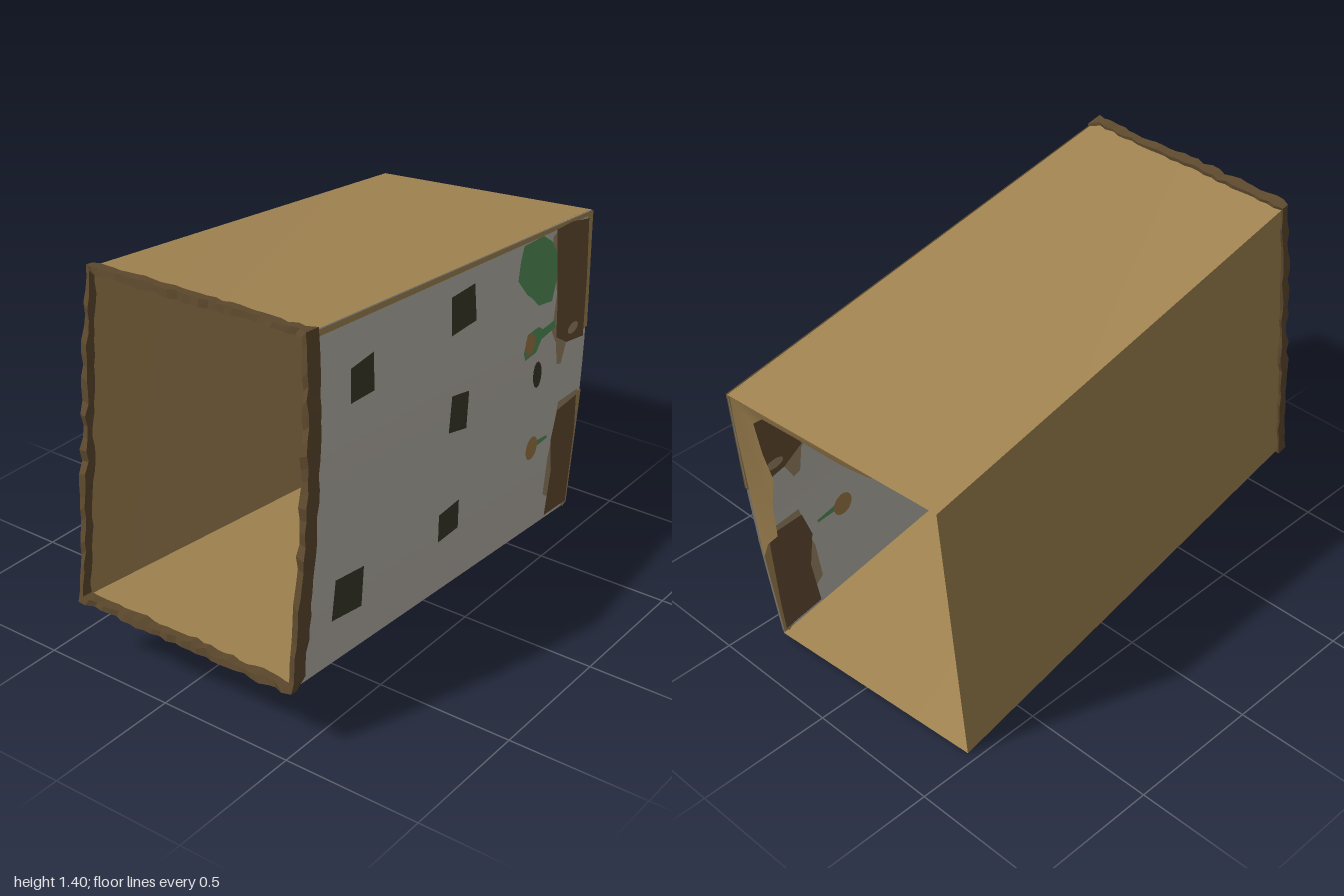
import * as THREE from 'three';

const V = (x, y, z) => new THREE.Vector3(x, y, z);
const mat = (name, color) => {
  const m = new THREE.MeshStandardMaterial({ color, side: THREE.DoubleSide });
  m.name = name;
  return m;
};

// Corners of the leaning sleeve: left end (-x) and right end (+x)
const L = { tf: V(-0.82, 1.39, 0.46), bf: V(-0.97, 0.25, 0.5), tb: V(-0.83, 1.38, -0.39), bb: V(-0.98, 0.26, -0.36) };
const R = { tf: V(0.99, 1.17, 0.35), bf: V(0.84, 0.03, 0.39), tb: V(0.91, 1.14, -0.51), bb: V(0.77, 0.005, -0.465) };
const BULGE = 0.02;

let seed = 7;
const rand = () => (seed = (seed * 16807) % 2147483647) / 2147483647;

// Curved four-cornered sheet: a-b is the lower edge, d-c the upper edge
function sheet(a, b, c, d, bulge = 0) {
  const g = new THREE.PlaneGeometry(1, 1, 12, 12);
  const p = g.attributes.position;
  for (let i = 0; i < p.count; i++) {
    const u = p.getX(i) + 0.5, v = p.getY(i) + 0.5;
    const q = a.clone().lerp(b, u).lerp(d.clone().lerp(c, u), v);
    p.setXYZ(i, q.x, q.y, q.z + bulge * Math.sin(Math.PI * v));
  }
  g.computeVertexNormals();
  return g;
}

// Depth of the front sheet at a given x, y
function frontZ(x, y) {
  const dx = x - L.bf.x, dy = y - L.bf.y;
  const det = 1.81 * 1.14 + 0.22 * 0.15;
  const u = (dx * 1.14 - dy * 0.15) / det;
  const v = (1.81 * dy + 0.22 * dx) / det;
  return 0.5 - 0.11 * u - 0.04 * v + BULGE * Math.sin(Math.PI * THREE.MathUtils.clamp(v, 0, 1));
}

const oval = (cx, cy, rx, ry) => Array.from({ length: 14 }, (_, i) => {
  const t = i / 14 * Math.PI * 2;
  return [cx + rx * Math.cos(t), cy + ry * Math.sin(t)];
});

export function createModel() {
  const group = new THREE.Group();
  const card = mat('cardboard tan', 0xa38552);
  const wall = mat('wall grey', 0xbab6ac);
  const dark = mat('window dark', 0x3b3a2a);
  const brown = mat('bark brown', 0x664e33);
  const green = mat('leaf green', 0x559459);
  const smudge = mat('pale brown', 0x9c8767);
  const orange = mat('ochre', 0xa07b48);
  const torn = mat('torn edge brown', 0x5e4a2e);

  const add = (name, geo, material) => {
    const m = new THREE.Mesh(geo, material);
    m.name = name;
    group.add(m);
  };

  // Four walls, open at both ends
  add('frontWall', sheet(L.bf, R.bf, R.tf, L.tf, BULGE), wall);
  add('backWall', sheet(R.bb, L.bb, L.tb, R.tb), card);
  add('topWall', sheet(L.tf, R.tf, R.tb, L.tb), card);
  add('bottomWall', sheet(L.bb, R.bb, R.bf, L.bf), card);

  // Painted patches on both sides of the front wall, outlines in hundredths
  const paint = (name, pts, material, lift = 0.006) => {
    const shape = new THREE.Shape(pts.map(([x, y]) => new THREE.Vector2(x / 100, y / 100)));
    for (const side of [1, -1]) {
      const g = new THREE.ShapeGeometry(shape);
      const p = g.attributes.position;
      for (let i = 0; i < p.count; i++) p.setZ(i, frontZ(p.getX(i), p.getY(i)) + side * lift);
      g.computeVertexNormals();
      add(name + (side > 0 ? 'Outside' : 'Inside'), g, material);
    }
  };

  const windows = [
    [[-62, 120], [-49, 120.5], [-50, 108], [-63, 109]],
    [[-2, 120.5], [13, 120], [13, 107], [-3, 107.5]],
    [[-4, 86.5], [7, 84], [5, 71], [-6.5, 74]],
    [[-74, 53], [-58, 50], [-59, 35.5], [-76, 39]],
    [[-12, 45.5], [1, 45.5], [1, 34.5], [-12, 35]],
  ];
  windows.forEach(w => paint('window', w, dark));
  paint('smallDarkSpot', oval(55, 70, 3.2, 5), dark);

  // Foliage, trunks and little sprigs
  paint('foliage', [[47, 121], [54, 120.5], [61, 120], [67, 116], [70.5, 111], [70.5, 102], [66, 94], [56, 96], [52, 100], [48, 103], [42, 110], [44, 116]], green);
  paint('upperTrunkEdge', [[68, 117], [72, 118], [74, 80], [77, 74], [73, 67], [70, 68], [69, 77], [66, 82], [70, 95]], smudge, 0.005);
  paint('upperTrunk', [[71, 119], [83, 118], [95.5, 115], [93, 93], [90, 71.5], [77, 74], [69, 79], [70, 92]], brown, 0.007);
  paint('trunkKnot', oval(81.5, 78, 4, 2), smudge, 0.009);
  paint('lowerTrunkEdge', [[72, 52], [87, 51], [88, 38], [82, 3], [64, 17], [66, 32], [69, 40]], smudge, 0.005);
  paint('lowerTrunk', [[71, 49], [86, 49], [86, 35], [83, 5], [66, 7], [69, 25], [67, 38]], brown, 0.007);
  paint('upperSprig', [[45, 82], [48, 88], [56, 88], [59, 86], [68, 86], [68, 83], [58, 82.5], [54, 79], [46, 79]], green);
  paint('upperSprigTip', oval(49.5, 84, 3.7, 4), orange, 0.008);
  paint('lowerSprig', [[55, 43.5], [64, 42], [64, 40.8], [55, 41]], green);
  paint('lowerSprigTip', oval(52, 42, 4.3, 4.5), orange, 0.008);

  // Bare cardboard along the folds
  paint('topFold', [[-80, 138.7], [99, 117], [99, 115.5], [-79, 136.5]], card);
  paint('upperEndFold', [[95, 117], [99, 117], [93.5, 74], [90.5, 74]], card);
  paint('lowerEndFold', [[86.5, 50], [90, 50], [84, 4], [82, 4]], card);

  // Ragged rim around the left end
  const loop = [L.tf, L.bf, L.bb, L.tb];
  const axis = R.tf.clone().sub(L.tf).normalize();
  const centre = loop.reduce((s, p) => s.add(p), V(0, 0, 0)).multiplyScalar(0.25);
  const pos = [], idx = [], N = 28;
  loop.forEach((a, e) => {
    const b = loop[(e + 1) % 4];
    for (let i = 0; i < N; i++) {
      const p = a.clone().lerp(b, i / N);
      if (e === 0) p.z += BULGE * Math.sin(Math.PI * i / N);
      const radial = p.clone().sub(centre).normalize();
      const inner = (e === 0 ? 0.05 : 0.022) + rand() * 0.012;
      const outer = -rand() * 0.018;
      const thick = 0.009 + rand() * 0.007;
      [[inner, 1], [outer, 1], [outer, -1], [inner, -1]].forEach(([along, s]) =>
        pos.push(...p.clone().addScaledVector(axis, along).addScaledVector(radial, s * thick).toArray()));
    }
  });
  const total = N * 4;
  for (let i = 0; i < total; i++) for (let k = 0; k < 4; k++) {
    const j = (i + 1) % total, m = (k + 1) % 4;
    idx.push(i * 4 + k, i * 4 + m, j * 4 + k, j * 4 + k, i * 4 + m, j * 4 + m);
  }
  let rim = new THREE.BufferGeometry();
  rim.setAttribute('position', new THREE.Float32BufferAttribute(pos, 3));
  rim.setIndex(idx);
  rim = rim.toNonIndexed();
  rim.computeVertexNormals();
  add('tornLeftRim', rim, torn);

  // Torn flap remnant inside the right end, outlined in z, y
  const flap = new THREE.ShapeGeometry(new THREE.Shape([
    [0.385, 0.42], [0.35, 1.165], [-0.28, 1.145], [-0.2, 1.1], [-0.08, 1.08], [0.1, 1.1], [0.24, 1.11],
    [0.295, 1.06], [0.29, 0.93], [0.275, 0.82], [0.3, 0.7], [0.31, 0.55], [0.35, 0.5],
  ].map(([z, y]) => new THREE.Vector2(z, y))));
  const fp = flap.attributes.position;
  for (let i = 0; i < fp.count; i++) {
    const z = fp.getX(i), y = fp.getY(i);
    const depth = Math.min(0.36 - z, 1.165 - y);
    fp.setXYZ(i, 0.84 + (y - 0.03) * 0.132 + (z - 0.38) * 0.09 - Math.max(0, depth) * 0.4, y, z);
  }
  flap.computeVertexNormals();
  add('tornRightFlap', flap, card);

  return group;
}
